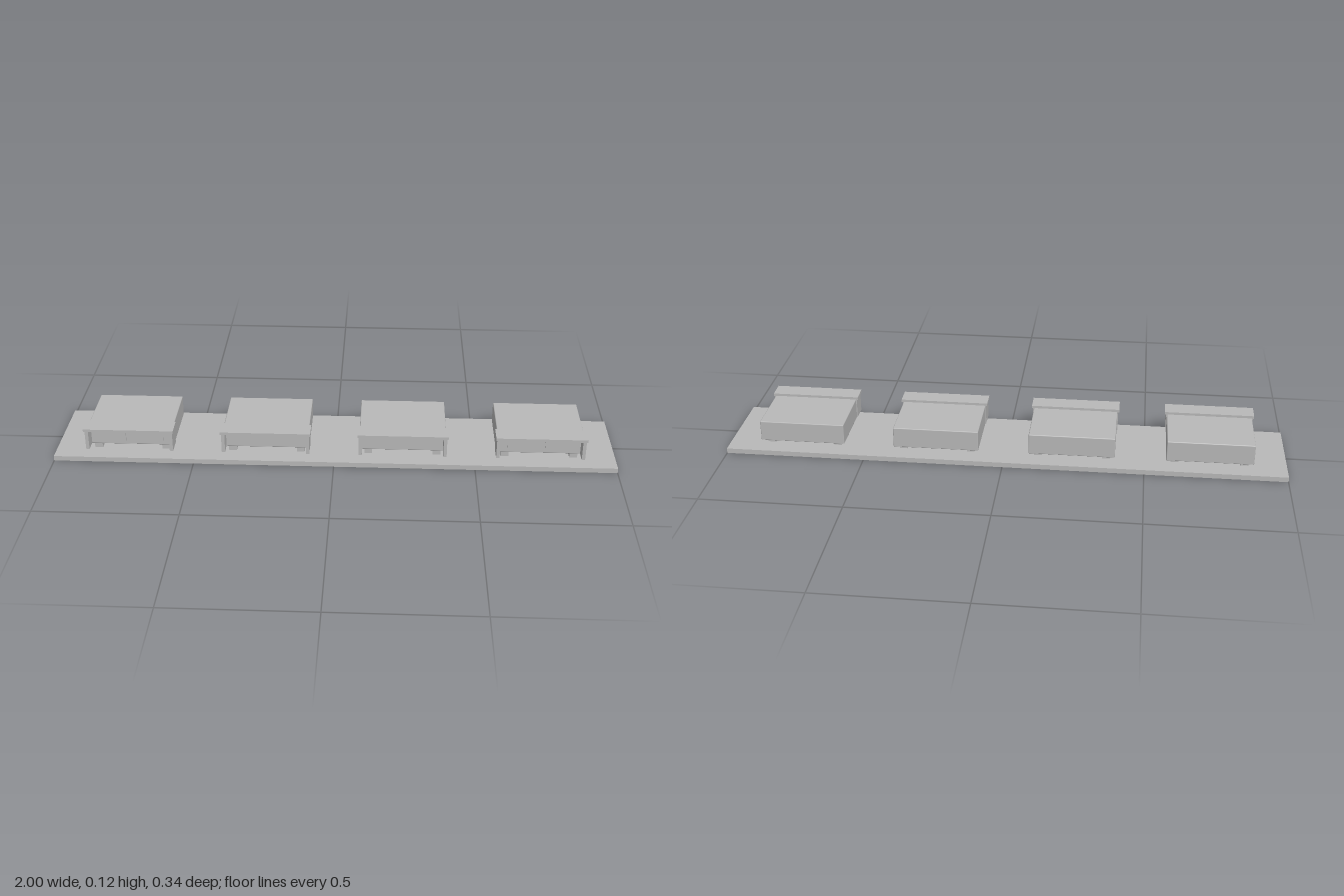
import * as THREE from 'three';
import { RoundedBoxGeometry } from 'three/addons/geometries/RoundedBoxGeometry.js';

const grey = new THREE.MeshStandardMaterial({ color: 0xb8b8b8 });
grey.name = 'plain grey';

// Box given by its min and max along each axis
function box(parent, name, [x0, x1], [y0, y1], [z0, z1], bevel = 0) {
  const size = [x1 - x0, y1 - y0, z1 - z0];
  const geometry = bevel
    ? new RoundedBoxGeometry(...size, 1, bevel)
    : new THREE.BoxGeometry(...size);
  const mesh = new THREE.Mesh(geometry, grey);
  mesh.name = name;
  mesh.position.set((x0 + x1) / 2, (y0 + y1) / 2, (z0 + z1) / 2);
  parent.add(mesh);
}

function createUnit() {
  const unit = new THREE.Group();
  unit.name = 'unit';

  // Main body with slightly softened edges
  box(unit, 'body', [-0.153, 0.153], [0.037, 0.112], [-0.127, 0.105], 0.003);

  // Overhanging canopy at the front
  box(unit, 'canopy', [-0.16, 0.16], [0.111, 0.121], [0.087, 0.155]);

  for (const s of [-1, 1]) {
    // Side screens carrying the canopy
    const x = s * 0.15;
    box(unit, 'sideScreen', [x - 0.006, x + 0.006], [0.039, 0.111], [0.087, 0.15]);

    // Front and rear feet
    const fx = s * 0.122;
    box(unit, 'frontFoot', [fx - 0.014, fx + 0.014], [0.017, 0.039], [0.073, 0.1]);
    box(unit, 'rearFoot', [fx - 0.014, fx + 0.014], [0.017, 0.039], [-0.099, -0.072]);

    // Window panels on the front wall
    const wx = s * 0.067;
    box(unit, 'windowPanel', [wx - 0.048, wx + 0.048], [0.054, 0.099], [0.102, 0.109]);
  }
  return unit;
}

export function createModel() {
  const model = new THREE.Group();
  model.name = 'unitRow';

  // Shared ground slab
  box(model, 'baseSlab', [-1, 1], [0, 0.018], [-0.17, 0.17]);

  // Four equal units in a row
  for (let i = 0; i < 4; i++) {
    const unit = createUnit();
    unit.position.x = (i - 1.5) * 0.486;
    model.add(unit);
  }
  return model;
}
